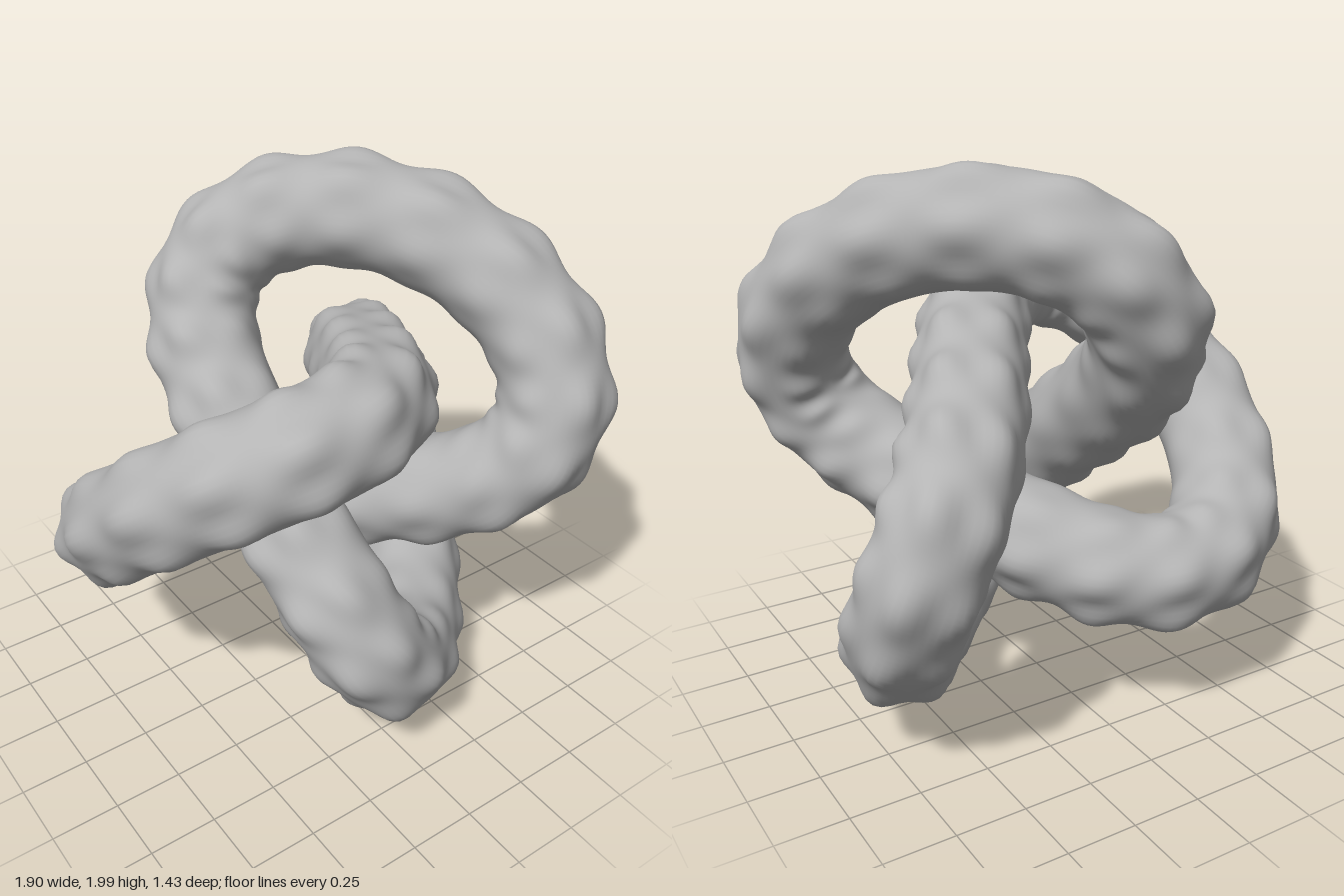
import * as THREE from 'three';

const CENTRE = new THREE.Vector3(0.112, 1, 0);
const SCALE = 0.28;       // size of the knot path
const DEPTH = 0.517;      // how far the path swings forwards and backwards
const RADIUS = 0.194;     // tube radius between the bumps
const BUMP = 0.032;       // height of the bumps
const BUMPS_ALONG = 42;
const BUMPS_AROUND = 6;
const STEPS = 588;
const SIDES = 48;

// Trefoil path around its own centre: [frequency, amplitude] of circular motions in xy
const WAVES = [[2, 2.05], [-1, 0.73], [5, 0.22]];

function knotOffset(t) {
  const p = new THREE.Vector3(0, 0, -DEPTH * Math.sin(3 * t));
  for (const [f, a] of WAVES) {
    p.x -= SCALE * a * Math.cos(f * t);
    p.y -= SCALE * a * Math.sin(f * t);
  }
  return p;
}

function knotTangent(t) {
  const d = new THREE.Vector3(0, 0, -3 * DEPTH * Math.cos(3 * t));
  for (const [f, a] of WAVES) {
    d.x += SCALE * a * f * Math.sin(f * t);
    d.y -= SCALE * a * f * Math.cos(f * t);
  }
  return d.normalize();
}

// Smooth 0..1 wave
const swell = (angle) => 0.5 + 0.5 * Math.cos(angle);

// Closed tube covered in rows of rounded bumps, flatter on the inside of the bends
function bumpyTube() {
  const positions = [];
  const indices = [];
  for (let i = 0; i < STEPS; i++) {
    const t = (i / STEPS) * Math.PI * 2;
    const offset = knotOffset(t);
    const tangent = knotTangent(t);
    // Ring frame faces away from the knot's centre
    const normal = offset.clone().addScaledVector(tangent, -offset.dot(tangent)).normalize();
    const binormal = tangent.clone().cross(normal);
    for (let j = 0; j < SIDES; j++) {
      const a = (j / SIDES) * Math.PI * 2;
      const height = BUMP * (0.65 + 0.35 * Math.cos(a));
      const r = RADIUS + height * swell(BUMPS_ALONG * t) * swell(BUMPS_AROUND * a);
      const p = offset.clone().add(CENTRE)
        .addScaledVector(normal, r * Math.cos(a))
        .addScaledVector(binormal, r * Math.sin(a));
      positions.push(p.x, p.y, p.z);

      const i2 = (i + 1) % STEPS;
      const j2 = (j + 1) % SIDES;
      const p00 = i * SIDES + j, p01 = i * SIDES + j2;
      const p10 = i2 * SIDES + j, p11 = i2 * SIDES + j2;
      indices.push(p00, p01, p10, p01, p11, p10);
    }
  }
  const geometry = new THREE.BufferGeometry();
  geometry.setAttribute('position', new THREE.Float32BufferAttribute(positions, 3));
  geometry.setIndex(indices);
  geometry.computeVertexNormals();
  return geometry;
}

export function createModel() {
  const group = new THREE.Group();
  group.name = 'bumpyKnot';
  const grey = new THREE.MeshStandardMaterial({ color: 0xb4b4b4 });
  grey.name = 'grey';
  const tube = new THREE.Mesh(bumpyTube(), grey);
  tube.name = 'knotTube';
  group.add(tube);
  return group;
}
